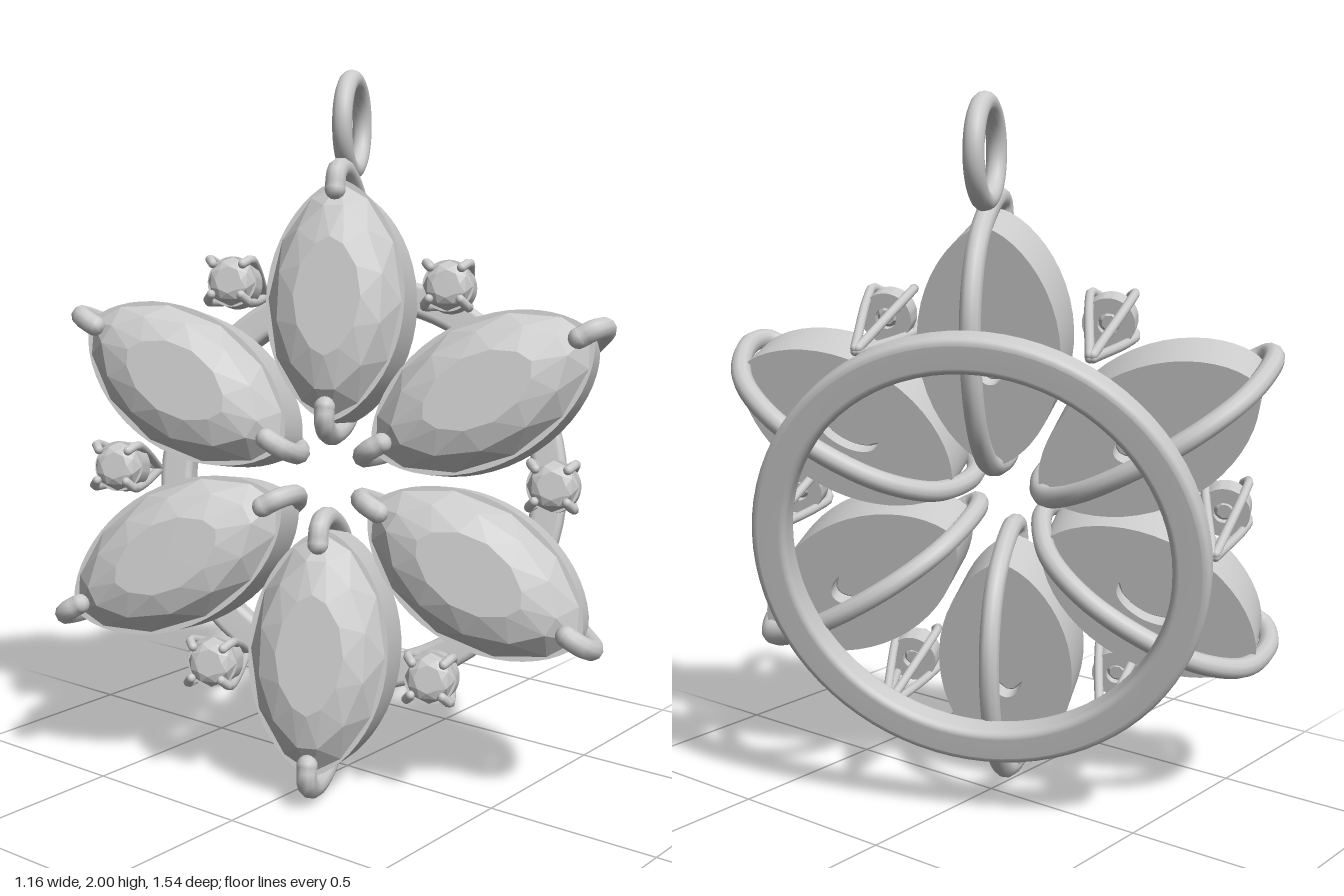
import * as THREE from 'three';
import { toCreasedNormals } from 'three/addons/utils/BufferGeometryUtils.js';

const metal = new THREE.MeshStandardMaterial({ color: 0xcccccc });
const facet = new THREE.MeshStandardMaterial({ color: 0xcccccc, flatShading: true });

function add(parent, name, geometry, material = metal) {
  const mesh = new THREE.Mesh(geometry, material);
  mesh.name = name;
  parent.add(mesh);
  return mesh;
}

// Outline with softly pointed ends when power > 1, an ellipse when power = 1
function outline(t, a, b, power) {
  const s = Math.sin(t);
  return new THREE.Vector2(a * Math.cos(t), b * Math.sign(s) * Math.abs(s) ** power);
}

// Faceted stone: rings of [scale, height] from table to culet, each turned half a step
function gem(a, b, power, sides, levels) {
  const pos = [], index = [];
  levels.forEach(([k, z], j) => {
    for (let i = 0; i < sides; i++) {
      const p = outline(((i + j / 2) / sides) * Math.PI * 2, a * k, b * k, power);
      pos.push(p.x, p.y, z);
    }
  });
  const last = levels.length - 1;
  const top = pos.length / 3, bottom = top + 1;
  pos.push(0, 0, levels[0][1], 0, 0, levels[last][1]);
  for (let i = 0; i < sides; i++) {
    const n = (i + 1) % sides;
    index.push(top, i, n, bottom, last * sides + n, last * sides + i);
    for (let j = 0; j < last; j++) {
      const A = j * sides, B = A + sides;
      index.push(A + i, B + i, A + n, B + i, B + n, A + n);
    }
  }
  const g = new THREE.BufferGeometry();
  g.setAttribute('position', new THREE.Float32BufferAttribute(pos, 3));
  g.setIndex(index);
  g.computeVertexNormals();
  return g;
}

// Setting: walled cup with an oval opening at the back
function cup(a, b, power, z0, z1, holeA, holeB) {
  const pts = [];
  for (let i = 0; i < 48; i++) pts.push(outline((i / 48) * Math.PI * 2, a, b, power));
  const shape = new THREE.Shape(pts);
  const hole = new THREE.Path();
  hole.absellipse(0, 0, holeA, holeB, 0, Math.PI * 2, true);
  shape.holes.push(hole);
  const g = new THREE.ExtrudeGeometry(shape, { depth: z1 - z0, bevelEnabled: false, curveSegments: 16 });
  g.translate(0, 0, z0);
  return toCreasedNormals(g, 0.6);
}

// Round wire with ball ends
function wire(parent, name, points, radius, segments) {
  const path = new THREE.CatmullRomCurve3(points);
  add(parent, name, new THREE.TubeGeometry(path, segments, radius, 10));
  for (const p of [points[0], points[points.length - 1]])
    add(parent, name + 'End', new THREE.SphereGeometry(radius, 10, 8)).position.copy(p);
}

// Flat band with rounded edges, lying around the z axis
function band(inner, outer, halfDepth, corner) {
  const pts = [];
  const corners = [[outer, -1, 1, -90], [outer, 1, 1, 0], [inner, 1, -1, 90], [inner, -1, -1, 180]];
  for (const [r, zSide, rSide, start] of corners)
    for (let i = 0; i <= 4; i++) {
      const a = THREE.MathUtils.degToRad(start + i * 22.5);
      pts.push(new THREE.Vector2(r - rSide * corner + corner * Math.cos(a),
        zSide * (halfDepth - corner) + corner * Math.sin(a)));
    }
  pts.push(pts[0].clone());
  return new THREE.LatheGeometry(pts, 80).rotateX(Math.PI / 2);
}

function petal() {
  const g = new THREE.Group();
  add(g, 'petalSetting', cup(0.338, 0.198, 1.3, 0.255, 0.45, 0.1, 0.055));
  add(g, 'petalStone', gem(0.328, 0.19, 1.25, 12,
    [[0.5, 0.545], [0.8, 0.515], [1, 0.45], [0.3, 0.3]]), facet);
  // Claw wire: hooks over both ends and bows back to the ring
  const half = [[0.3, 0.505], [0.345, 0.5], [0.372, 0.44], [0.362, 0.33], [0.3, 0.19], [0.17, 0.095]];
  const pts = half.map(([x, z]) => new THREE.Vector3(x, 0, z));
  pts.push(new THREE.Vector3(0, 0, 0.065));
  for (const [x, z] of [...half].reverse()) pts.push(new THREE.Vector3(-x, 0, z));
  wire(g, 'petalClaw', pts, 0.029, 64);
  return g;
}

function accent() {
  const g = new THREE.Group();
  add(g, 'accentSetting', cup(0.072, 0.072, 1, 0.35, 0.415, 0.03, 0.03));
  add(g, 'accentStone', gem(0.07, 0.07, 1, 8,
    [[0.55, 0.455], [0.82, 0.445], [1, 0.415], [0.3, 0.36]]), facet);
  // Four thin prongs meeting in a point behind the stone
  for (let i = 0; i < 4; i++) {
    const a = Math.PI / 4 + (i * Math.PI) / 2;
    const at = (r, z) => new THREE.Vector3(r * Math.cos(a), r * Math.sin(a), z);
    wire(g, 'accentProng', [at(0.062, 0.465), at(0.084, 0.445), at(0.074, 0.36), at(0.006, 0.085)], 0.013, 16);
  }
  return g;
}

export function createModel() {
  const model = new THREE.Group();
  model.name = 'flowerPendant';

  // Pendant is built facing +z, then turned and leaned back
  const pendant = new THREE.Group();
  pendant.name = 'pendant';
  model.add(pendant);
  pendant.rotation.set(-Math.asin(0.21), -Math.acos(0.425), 0, 'YXZ');
  pendant.position.set(0.28, 0.79, -0.17);

  add(pendant, 'backRing', band(0.525, 0.625, 0.042, 0.02)).position.set(0, -0.01, 0.015);

  for (let i = 0; i < 6; i++) {
    const place = (part, name, angle, r) => {
      part.name = name;
      part.position.set(r * Math.cos(angle), r * Math.sin(angle), 0);
      pendant.add(part);
    };
    const angle = Math.PI / 6 + (i * Math.PI) / 3;
    const leaf = petal();
    leaf.rotation.z = angle;
    place(leaf, 'petal', angle, 0.488);
    place(accent(), 'accent', (i * Math.PI) / 3, 0.622);
  }

  // Hanging loop
  const loop = add(pendant, 'hangingLoop', new THREE.TorusGeometry(0.127, 0.028, 14, 48));
  loop.rotation.y = Math.PI / 2;
  loop.position.set(0, 1.005, 0.336);
  return model;
}
